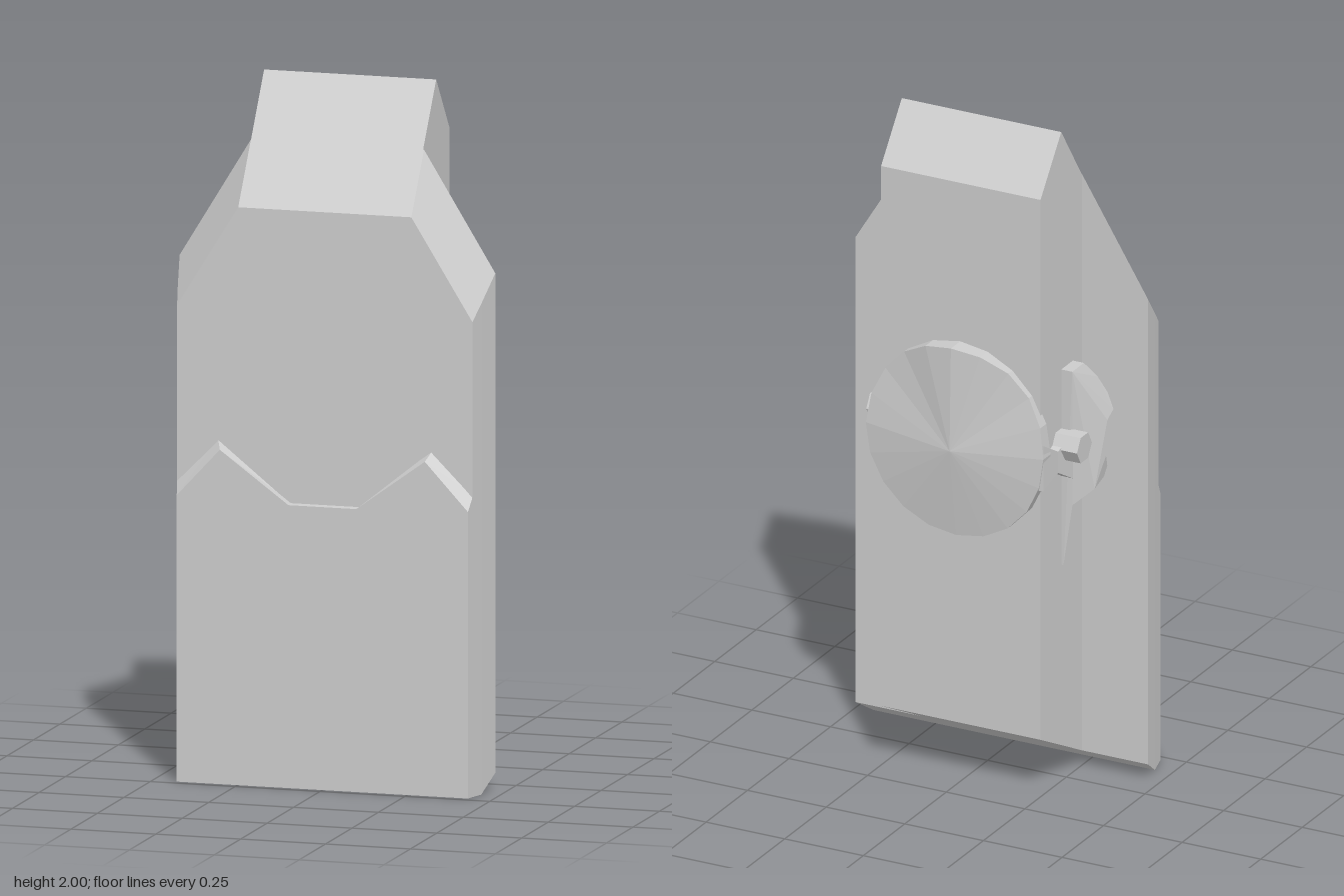
import * as THREE from 'three';

const material = new THREE.MeshStandardMaterial({ color: 0xcccccc, flatShading: true, side: THREE.DoubleSide });

// Joins matching counter-clockwise outlines, listed as [z, points] from back to front, and caps both ends.
function loft(sections) {
  const n = sections[0][1].length;
  const positions = [];
  const indices = [];
  for (const [z, points] of sections) for (const [x, y] of points) positions.push(x, y, z);
  for (let s = 0; s < sections.length - 1; s++) {
    for (let i = 0; i < n; i++) {
      const a = s * n + i, b = s * n + (i + 1) % n;
      indices.push(a, b, b + n, a, b + n, a + n);
    }
  }
  const cap = (s, flip) => {
    const contour = sections[s][1].map(([x, y]) => new THREE.Vector2(x, y));
    for (const [a, b, c] of THREE.ShapeUtils.triangulateShape(contour, [])) {
      const o = s * n;
      if (flip) indices.push(o + a, o + c, o + b);
      else indices.push(o + a, o + b, o + c);
    }
  };
  cap(0, true);
  cap(sections.length - 1, false);
  const indexed = new THREE.BufferGeometry();
  indexed.setAttribute('position', new THREE.Float32BufferAttribute(positions, 3));
  indexed.setIndex(indices);
  const geometry = indexed.toNonIndexed();
  geometry.computeVertexNormals();
  return geometry;
}

// Side profile of [z, y] points, swept across x from x0 to x1.
function sweepX(profile, x0, x1) {
  const outline = profile.map(([z, y]) => [-z, y]);
  return loft([[x0, outline], [x1, outline]]).rotateY(Math.PI / 2);
}

// Full outline from its right half, bottom to top.
const mirrored = half => [...half, ...half.map(([x, y]) => [-x, y]).reverse()];

function named(name, geometry) {
  const mesh = new THREE.Mesh(geometry, material);
  mesh.name = name;
  return mesh;
}

function part(group, name, geometry) {
  group.add(named(name, geometry));
}

// Round back boss: shallow cone with a wavy rim and a skirt down to the body.
function bossGeometry() {
  const count = 20;
  const rimDepths = [0.222, 0.21, 0.19, 0.184, 0.192, 0.2, 0.2, 0.197, 0.194, 0.191, 0.19];
  const positions = [];
  const corner = (i, skirt) => {
    const k = i % count;
    const angle = k / count * Math.PI * 2;
    const depth = rimDepths[Math.min(k, count - k)];
    return [0.282 * Math.sin(angle), 1.06 + 0.293 * Math.cos(angle), skirt ? -0.155 : -depth];
  };
  for (let i = 0; i < count; i++) {
    const a = corner(i), b = corner(i + 1), c = corner(i, true), d = corner(i + 1, true);
    positions.push(0, 1.04, -0.23, ...a, ...b);
    positions.push(...a, ...c, ...d, ...a, ...d, ...b);
  }
  const geometry = new THREE.BufferGeometry();
  geometry.setAttribute('position', new THREE.Float32BufferAttribute(positions, 3));
  geometry.computeVertexNormals();
  return geometry;
}

// Side guard: a hooked blade whose outward reach changes with height.
function guardGeometry() {
  const geometry = sweepX([
    [-0.04, 0.67], [-0.04, 1.27], [0.03, 1.27], [0.065, 1.22], [0.088, 1.16], [0.085, 1.12],
    [0.05, 1.1], [0.05, 0.99], [0.07, 0.95], [0.06, 0.92], [0.01, 0.9], [-0.02, 0.85],
  ].reverse(), 0.245, 0.35);
  const reach = [[0.67, 0.262], [0.85, 0.28], [0.9, 0.335], [0.99, 0.35], [1.12, 0.355], [1.2, 0.325], [1.28, 0.285]];
  const position = geometry.attributes.position;
  for (let i = 0; i < position.count; i++) {
    if (position.getX(i) < 0.3) continue;
    const y = position.getY(i);
    const k = Math.max(1, reach.findIndex(([h]) => h >= y - 1e-4));
    const [y0, x0] = reach[k - 1], [y1, x1] = reach[k];
    position.setX(i, THREE.MathUtils.mapLinear(y, y0, y1, x0, x1));
  }
  geometry.computeVertexNormals();
  return geometry;
}

export function createModel() {
  const model = new THREE.Group();

  // Narrow rear core with a pitched top and slanted base
  part(model, 'rearCore', sweepX([
    [0.085, 0.05], [-0.165, 0.18], [-0.165, 1.84], [-0.04, 2], [0.085, 1.82],
  ].reverse(), -0.255, 0.252));

  // Wide front shell, narrowing toward the front, with cut shoulders
  const shell = (width, base, shoulder, top) => mirrored([[width, base], [width, shoulder], [0.255, top]]);
  part(model, 'frontShell', loft([
    [0.085, shell(0.465, 0.05, 1.48, 1.822)],
    [0.16, shell(0.447, 0, 1.405, 1.714)],
    [0.205, shell(0.435, 0, 1.36, 1.65)],
  ]));

  // Raised lower panel with a bevelled zigzag upper edge
  part(model, 'lowerPanel', loft([
    [0.2, mirrored([[0.436, 0], [0.436, 0.865], [0.316, 0.985], [0.1, 0.812]])],
    [0.228, mirrored([[0.429, 0], [0.429, 0.82], [0.302, 0.957], [0.1, 0.81]])],
  ]));

  part(model, 'backBoss', bossGeometry());

  // Hooked guard, strap and hexagonal peg on each side
  for (const side of [1, -1]) {
    const fitting = new THREE.Group();
    fitting.name = side > 0 ? 'leftFitting' : 'rightFitting';
    part(fitting, 'guard', guardGeometry());

    const strap = (outer, low, high) => [[0.24, low], [outer, low], [outer, high], [0.24, high]];
    part(fitting, 'strap', loft([
      [-0.195, strap(0.28, 0.96, 1.1)],
      [-0.11, strap(0.282, 0.985, 1.05)],
      [-0.035, strap(0.29, 0.94, 1.08)],
    ]));

    const peg = named('peg', new THREE.CylinderGeometry(0.045, 0.045, 0.085, 6));
    peg.rotation.z = Math.PI / 2;
    peg.position.set(0.2925, 1.05, -0.052);
    fitting.add(peg);

    fitting.scale.x = side;
    model.add(fitting);
  }
  return model;
}
